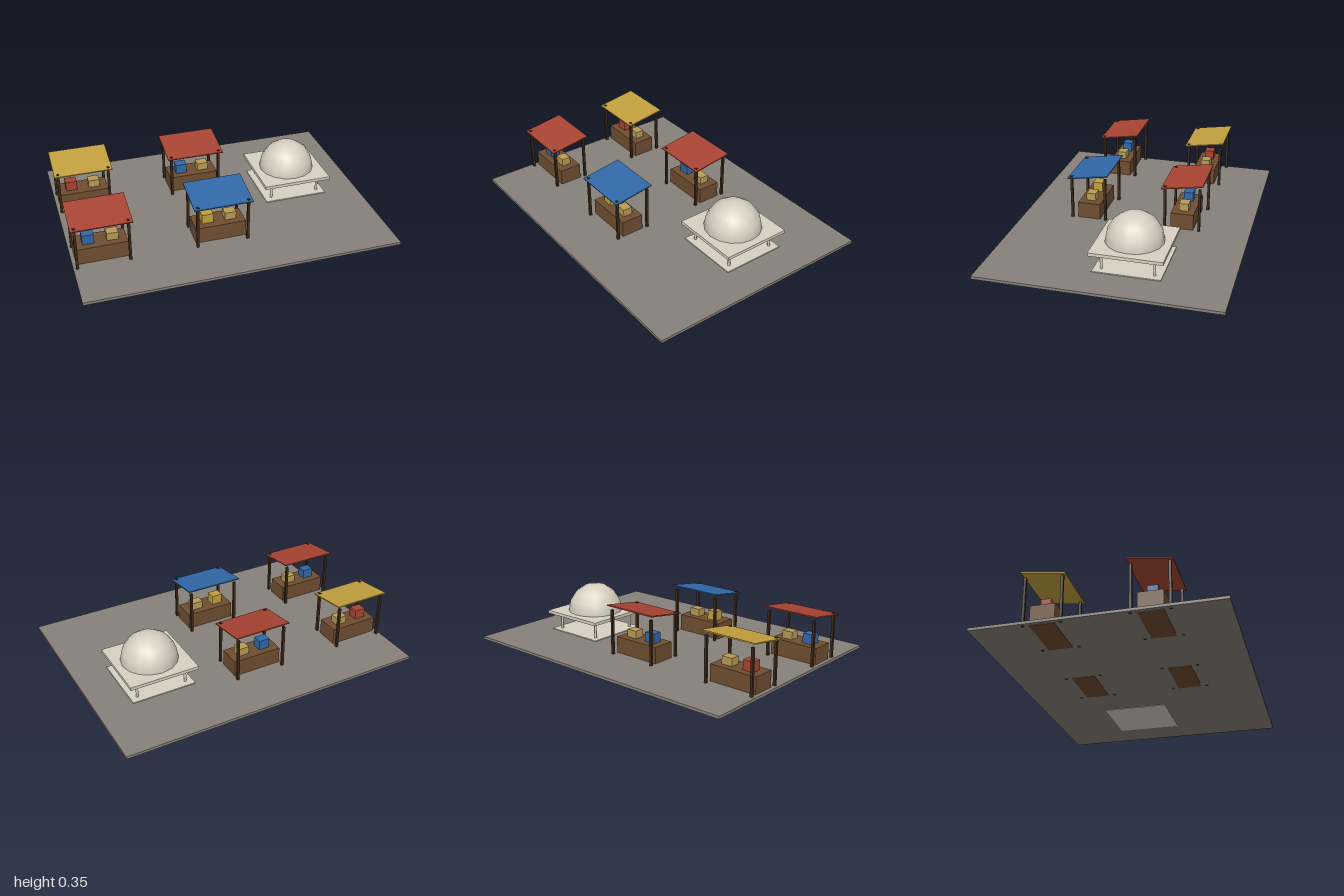
import * as THREE from 'three';

const mat = (name, color) => {
  const m = new THREE.MeshStandardMaterial({ color });
  m.name = name;
  return m;
};

export function createModel() {
  const paving = mat('paving grey', 0x87817a);
  const stone = mat('pale stone', 0xd8d0c2);
  const wood = mat('counter wood', 0x6f4e31);
  const darkWood = mat('post wood', 0x3d2a1a);
  const red = mat('red cloth', 0xa84433);
  const blue = mat('blue cloth', 0x3168a8);
  const yellow = mat('yellow cloth', 0xc2a03e);
  const straw = mat('straw', 0xb89b56);

  const model = new THREE.Group();
  model.name = 'marketSquare';

  const add = (parent, name, geometry, material, x, y, z) => {
    const mesh = new THREE.Mesh(geometry, material);
    mesh.name = name;
    mesh.position.set(x, y, z);
    parent.add(mesh);
    return mesh;
  };
  // box standing on height y0 and reaching y1
  const block = (parent, name, w, y0, y1, d, material, x = 0, z = 0) =>
    add(parent, name, new THREE.BoxGeometry(w, y1 - y0, d), material, x, (y0 + y1) / 2, z);

  block(model, 'ground', 2, 0.003, 0.021, 1.5, paving);

  // Market stall: counter, goods, four posts and a sloping canopy
  function stall(x, z, cloth, goods) {
    const g = new THREE.Group();
    g.name = 'stall';
    g.position.set(x, 0, z);
    block(g, 'counter', 0.325, 0, 0.127, 0.15, wood);
    block(g, 'tallGoods', 0.073, 0.127, 0.19, 0.0625, goods, -0.075);
    block(g, 'lowGoods', 0.073, 0.127, 0.177, 0.0625, straw, 0.075);
    for (const sx of [-1, 1])
      for (const sz of [-1, 1])
        block(g, 'post', 0.016, 0, 0.313, 0.016, darkWood, sx * 0.1625, sz * 0.1125);
    const canopy = add(g, 'canopy', new THREE.BoxGeometry(0.375, 0.0075, 0.272), cloth, 0, 0.322, 0);
    canopy.rotation.x = 0.15;
    model.add(g);
  }
  stall(-0.8125, 0.3125, red, blue);
  stall(-0.0625, 0.3125, blue, yellow);
  stall(-0.8125, -0.3125, yellow, red);
  stall(-0.0625, -0.3125, red, blue);

  // Domed pavilion
  const pavilion = new THREE.Group();
  pavilion.name = 'pavilion';
  pavilion.position.set(0.5625, 0, -0.125);
  model.add(pavilion);
  block(pavilion, 'plinth', 0.42, 0, 0.027, 0.42, stone);
  block(pavilion, 'roofSlab', 0.455, 0.135, 0.156, 0.455, stone);
  for (const sx of [-1, 1])
    for (const sz of [-1, 1])
      add(pavilion, 'column', new THREE.CylinderGeometry(0.0085, 0.0085, 0.115, 8), stone,
        sx * 0.1625, 0.081, sz * 0.1625);
  const dome = add(pavilion, 'dome',
    new THREE.SphereGeometry(0.182, 16, 4, 0, Math.PI * 2, 0, Math.PI / 2), stone, 0, 0.155, 0);
  dome.scale.y = 1.025;

  return model;
}
